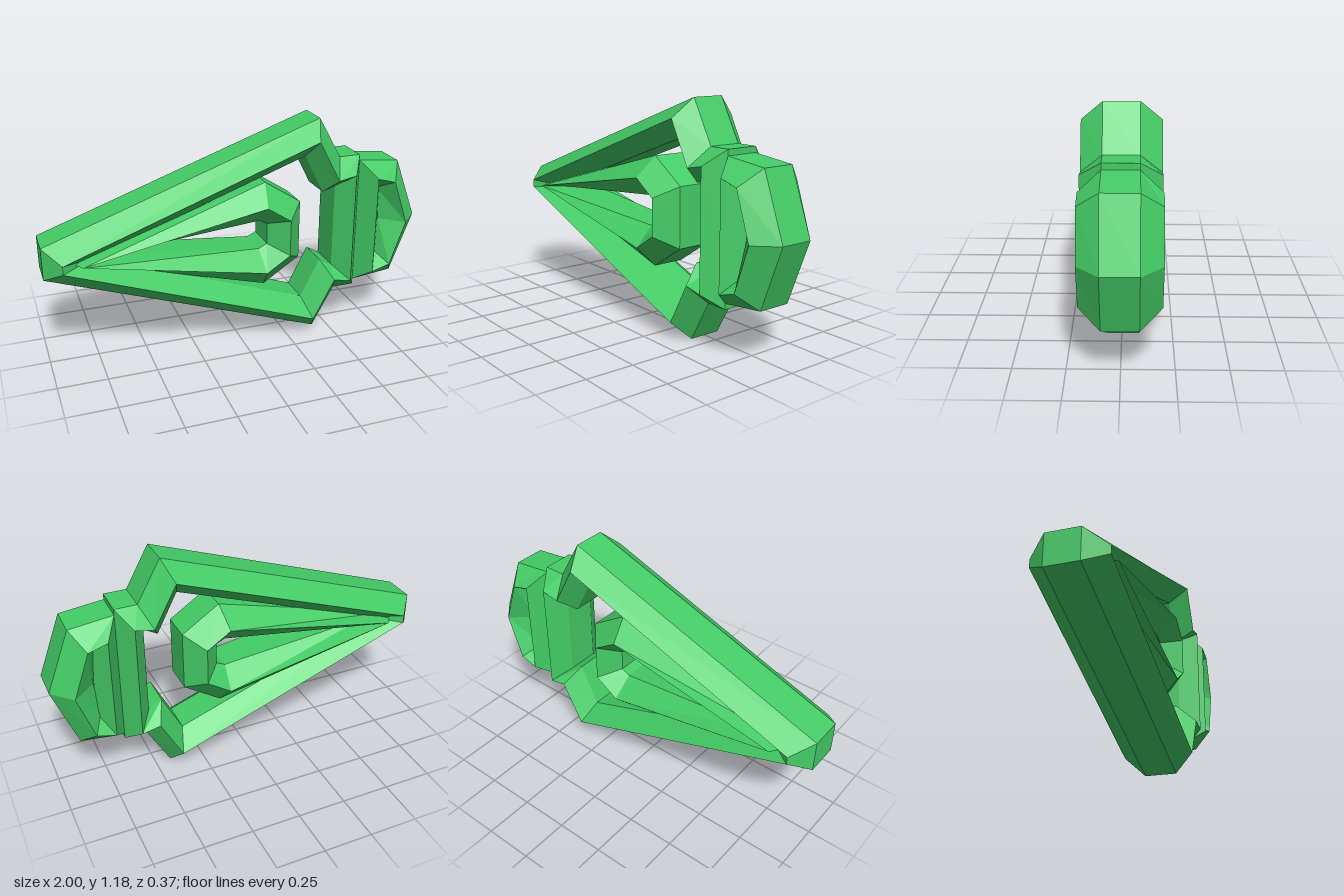
import * as THREE from 'three';

const MID = 0.592;   // height of the mirror line
const FLAT = 0.085;  // half depth of the flat outer and inner faces
const RIDGE = 0.187; // half depth at the raised ridge

// Closed bevelled loop. Each corner of the upper half, running right to left, is
// [outerX, outerY, ridgeX, ridgeY, innerX, innerY] with y above the mirror line.
function bevelledLoop(name, upper, material) {
  const lower = upper.filter((c) => c[1] > 0).reverse()
    .map(([ox, oy, rx, ry, ix, iy]) => [ox, -oy, rx, -ry, ix, -iy]);
  // keep the counterclockwise order when the loop starts on the mirror line
  const corners = [...upper, ...lower];
  const rings = corners.map(([ox, oy, rx, ry, ix, iy]) => [
    [ox, oy, FLAT], [rx, ry, RIDGE], [ix, iy, FLAT],
    [ix, iy, -FLAT], [rx, ry, -RIDGE], [ox, oy, -FLAT],
  ]);
  const positions = [];
  rings.forEach((ring, i) => {
    const next = rings[(i + 1) % rings.length];
    for (let j = 0; j < 6; j++) {
      const k = (j + 1) % 6;
      for (const [x, y, z] of [ring[j], next[j], next[k], ring[j], next[k], ring[k]]) {
        positions.push(x, y + MID, z);
      }
    }
  });
  const geometry = new THREE.BufferGeometry();
  geometry.setAttribute('position', new THREE.Float32BufferAttribute(positions, 3));
  geometry.computeVertexNormals();
  const mesh = new THREE.Mesh(geometry, material);
  mesh.name = name;
  return mesh;
}

export function createModel() {
  const group = new THREE.Group();
  group.name = 'bevelledEmblem';
  const green = new THREE.MeshStandardMaterial({ color: 0x44cc66, flatShading: true });

  // long pointed frame, closed by an upright bar on the right
  group.add(bevelledLoop('outerFrame', [
    [0.655, 0.373, 0.59, 0.297, 0.52, 0.233],
    [0.54, 0.373, 0.495, 0.278, 0.45, 0.193],
    [0.42, 0.588, 0.38, 0.493, 0.345, 0.397],
    [-1, 0.083, -0.915, 0.021, -0.76, 0],
  ], green));

  // teardrop ring inside the frame
  group.add(bevelledLoop('innerTeardrop', [
    [0.325, 0.155, 0.235, 0.096, 0.145, 0.056],
    [0.13, 0.283, 0.11, 0.178, 0.1, 0.078],
    [-0.89, 0, -0.82, 0, -0.72, 0],
  ], green));

  // pointed end ring beside the bar
  group.add(bevelledLoop('endRing', [
    [1, 0, 0.9, 0, 0.787, 0],
    [0.88, 0.318, 0.818, 0.235, 0.765, 0.18],
    [0.655, 0.343, 0.72, 0.263, 0.782, 0.185],
  ], green));

  return group;
}
